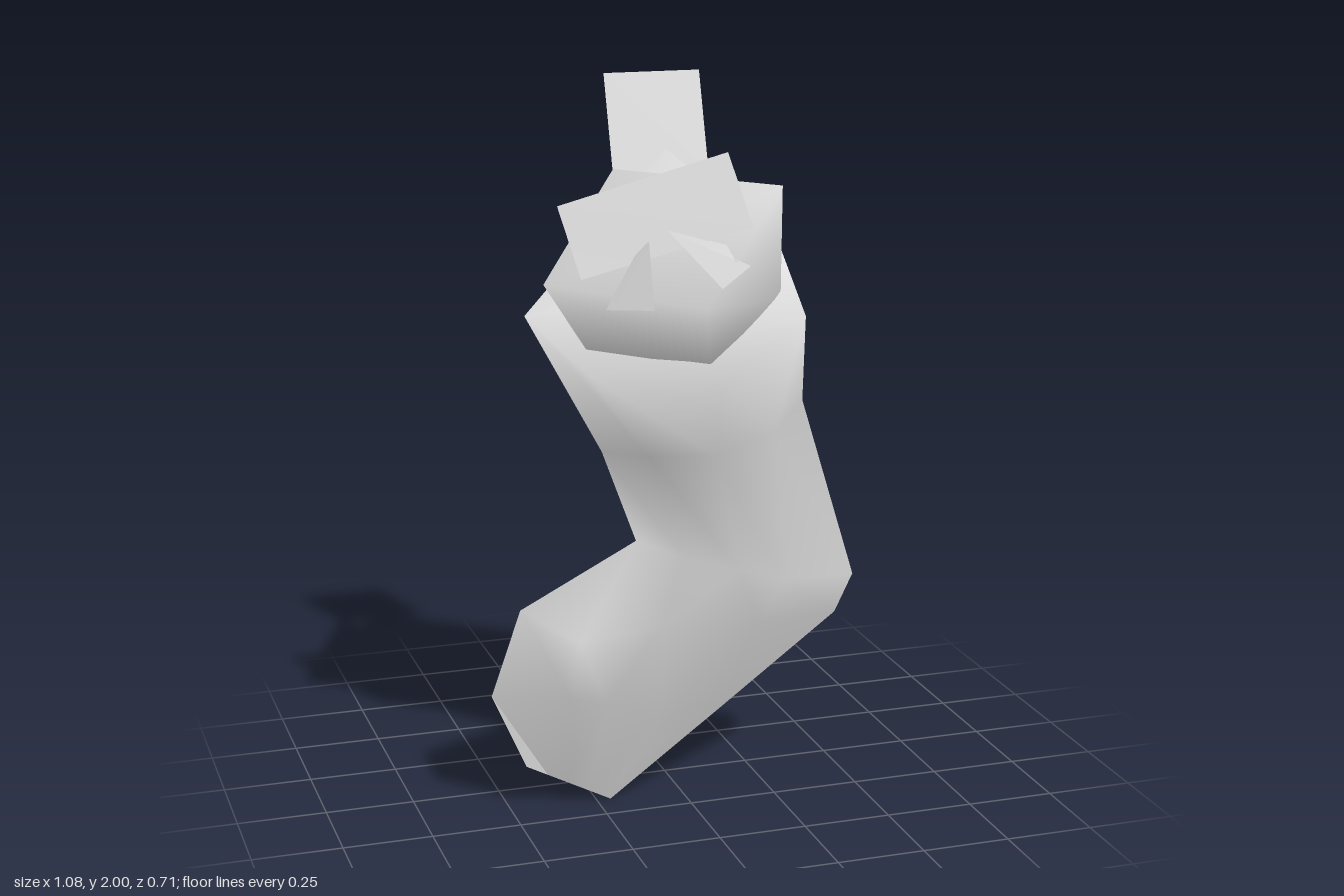
import * as THREE from 'three';

const material = new THREE.MeshStandardMaterial({ color: 0xcccccc, side: THREE.DoubleSide });

// Mesh from corner points and polygons (each polygon is fanned into triangles)
function surface(name, points, polygons) {
  const index = [];
  for (const p of polygons)
    for (let i = 1; i < p.length - 1; i++) index.push(p[0], p[i], p[i + 1]);
  const geometry = new THREE.BufferGeometry();
  geometry.setAttribute('position', new THREE.Float32BufferAttribute(points.flat(), 3));
  geometry.setIndex(index);
  geometry.computeVertexNormals();
  const mesh = new THREE.Mesh(geometry, material);
  mesh.name = name;
  return mesh;
}

// Faces joining rows of n points listed from the top down
function strip(rowCount, n) {
  const faces = [];
  for (let r = 0; r < rowCount - 1; r++)
    for (let i = 0; i < n - 1; i++) {
      const a = r * n + i, b = a + n;
      faces.push([a, b, b + 1, a + 1]);
    }
  return faces;
}

export function createModel() {
  const group = new THREE.Group();

  // Outline of the stocking: instep side and heel side, from mouth to toe
  const instep = [[-0.37, 1.36, -0.13], [-0.2, 1.0, 0.05], [-0.11, 0.74, 0.08],
    [-0.45, 0.57, 0.085], [-0.54, 0.33, 0.1], [-0.45, 0.12, 0.13]];
  const heel = [[0.395, 1.52, -0.155], [0.4, 1.1, 0.04], [0.54, 0.585, 0.1],
    [0.48, 0.48, 0.115], [0.135, 0.24, 0.135], [-0.21, 0, 0.15]];

  // Front half, swelling between the outlines
  const front = [
    [[-0.26, 1.24, 0.14], [0.06, 1.24, 0.315], [0.38, 1.36, 0.11]],
    [[-0.09, 1.0, 0.15], [0.09, 1.0, 0.19], [0.28, 1.04, 0.14]],
    [[0, 0.71, 0.18], [0.15, 0.67, 0.22], [0.3, 0.62, 0.2]],
    [[-0.315, 0.5, 0.215], [-0.08, 0.53, 0.225], [0.22, 0.5, 0.195]],
    [[-0.34, 0.34, 0.21], [-0.24, 0.32, 0.225], [-0.08, 0.26, 0.195]],
    [[-0.39, 0.09, 0.135], [-0.33, 0.06, 0.14], [-0.27, 0.03, 0.145]],
  ].map((row, i) => [instep[i], ...row, heel[i]]);

  // The mouth is closed by a sloping cover, with a flap behind it rising to a peak
  const peak = [0.09, 1.79, -0.265];
  const cover = [[1, 2, 3], [0, 1, 3], [0, 3, 4]];
  const flap = [0, 4, 30];
  group.add(surface('stockingFront', [...front.flat(), peak],
    [...strip(6, 5), ...cover, flap]));

  // Nearly flat back half
  const back = [[0.0125, 1.44, -0.1425], [0.1, 1.05, 0.045], [0.2, 0.67, 0.085],
    [0, 0.52, 0.098], [-0.22, 0.3, 0.11], [-0.33, 0.06, 0.14]];
  group.add(surface('stockingBack',
    back.flatMap((p, i) => [heel[i], p, instep[i]]), strip(6, 3)));

  // Stuffing: sloped top sheet reaching back, with a front wall sunk into the mouth
  group.add(surface('stuffing', [
    [-0.37, 1.49, 0.08], [0.01, 1.45, 0.345], [0.31, 1.73, 0.1], [-0.07, 1.74, -0.26],
    [-0.215, 1.255, 0.035], [0.07, 1.24, 0.2], [0.345, 1.39, 0],
  ], [[0, 1, 2], [0, 2, 3], [0, 4, 5, 1], [1, 5, 6, 2]]));

  // Flat cards
  group.add(surface('backCard', [[-0.067, 2, -0.36], [-0.067, 1.72, -0.27],
    [0.22, 1.72, -0.27], [0.22, 2, -0.36]], [[0, 1, 2, 3]]));
  group.add(surface('frontCard', [[-0.31, 1.69, 0.01], [-0.275, 1.505, 0.12],
    [0.185, 1.64, 0.21], [0.15, 1.83, 0.1]], [[0, 1, 2, 3]]));

  // Bow tips in front of the card
  group.add(surface('bowTipRight', [[-0.085, 1.61, 0.125], [-0.13, 1.565, 0.14],
    [-0.235, 1.44, 0.22], [-0.135, 1.455, 0.335]], [[0, 1, 2, 3]]));
  group.add(surface('bowTipLeft', [[-0.035, 1.63, 0.14], [0.05, 1.505, 0.35],
    [0.16, 1.545, 0.265], [0.12, 1.56, 0.25], [0.11, 1.595, 0.205]], [[0, 1, 2, 3, 4]]));

  return group;
}
